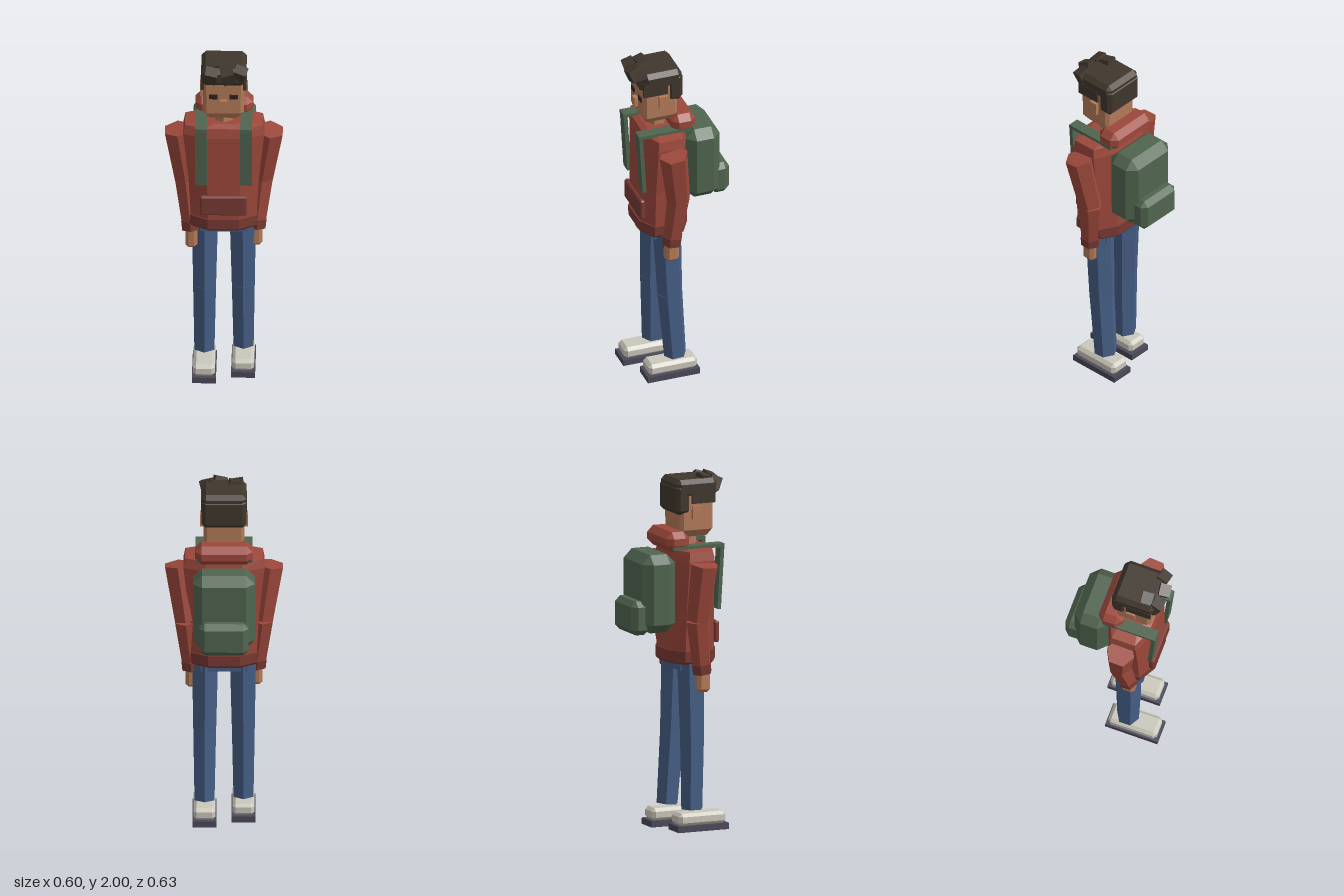
import * as THREE from 'three';
import { ConvexGeometry } from 'three/addons/geometries/ConvexGeometry.js';

const paint = (name, color) => {
  const m = new THREE.MeshStandardMaterial({ color });
  m.name = name;
  return m;
};

export function createModel() {
  const hoodie = paint('hoodie red', 0x9c483b);
  const trim = paint('dark red trim', 0x7a3a33);
  const denim = paint('denim blue', 0x465f87);
  const skin = paint('skin', 0xb57b59);
  const hair = paint('hair', 0x40372d);
  const pack = paint('pack green', 0x50654f);
  const shoe = paint('shoe white', 0xcac7bb);
  const sole = paint('sole grey', 0x4b4958);
  const dark = paint('eye dark', 0x2c2422);

  const body = new THREE.Group();
  body.name = 'body';

  // Unshared vertices give every facet its own flat normal
  const flat = (g) => {
    const f = g.index ? g.toNonIndexed() : g;
    f.computeVertexNormals();
    return f;
  };
  const add = (name, geo, mat, x = 0, y = 0, z = 0) => {
    const m = new THREE.Mesh(flat(geo), mat);
    m.name = name;
    m.position.set(x, y, z);
    body.add(m);
    return m;
  };
  const box = (w, h, d) => new THREE.BoxGeometry(w, h, d);

  // Box with all edges cut off by c
  const cutBox = (w, h, d, c) => {
    const pts = [];
    for (const sx of [-1, 1]) for (const sy of [-1, 1]) for (const sz of [-1, 1]) {
      for (let k = 0; k < 3; k++) {
        const cut = (axis) => (axis === k ? 0 : c);
        pts.push(new THREE.Vector3(
          sx * (w / 2 - cut(0)), sy * (h / 2 - cut(1)), sz * (d / 2 - cut(2))));
      }
    }
    return new ConvexGeometry(pts);
  };

  // Eight-sided loft through rings [y, half width, half depth, z offset]
  const loft = (rings, fx, fz) => {
    const pos = [], idx = [], n = 8, top = rings.length - 1;
    for (const [y, w, d, z = 0] of rings) {
      for (const [px, pz] of [[fx, 1], [1, fz], [1, -fz], [fx, -1],
        [-fx, -1], [-1, -fz], [-1, fz], [-fx, 1]]) pos.push(px * w, y, pz * d + z);
    }
    for (let i = 0; i < top; i++) for (let j = 0; j < n; j++) {
      const a = i * n + j, b = i * n + (j + 1) % n;
      idx.push(a, b, b + n, a, b + n, a + n);
    }
    for (let j = 1; j < n - 1; j++) {
      idx.push(0, j + 1, j, top * n, top * n + j, top * n + j + 1);
    }
    const g = new THREE.BufferGeometry();
    g.setAttribute('position', new THREE.Float32BufferAttribute(pos, 3));
    g.setIndex(idx);
    return g;
  };

  // Six-sided tapered segment from a (top) to b (bottom)
  const limb = (name, a, b, ra, rb, mat) => {
    const va = new THREE.Vector3(...a), vb = new THREE.Vector3(...b);
    const dir = va.clone().sub(vb);
    const m = add(name, new THREE.CylinderGeometry(ra, rb, dir.length(), 6), mat);
    m.position.copy(va).add(vb).multiplyScalar(0.5);
    m.quaternion.setFromUnitVectors(new THREE.Vector3(0, 1, 0), dir.normalize());
    return m;
  };

  // Torso, hem, front pocket and hood
  add('torso', loft([[1.02, 0.182, 0.135], [1.25, 0.195, 0.133], [1.53, 0.225, 0.128],
    [1.585, 0.215, 0.115], [1.6, 0.12, 0.085]], 0.47, 0.6), hoodie);
  add('hem', loft([[0.945, 0.172, 0.13], [0.96, 0.185, 0.142], [1.02, 0.187, 0.142]],
    0.47, 0.6), trim);
  add('frontPocket', cutBox(0.26, 0.12, 0.03, 0.008), trim, 0, 1.11, 0.135);
  add('hood', cutBox(0.32, 0.11, 0.14, 0.035), hoodie, 0, 1.635, -0.105);
  add('hips', box(0.26, 0.08, 0.16), denim, 0, 0.945, -0.01);

  // Arms, legs and shoes; one side swings forward, the other back
  for (const s of [-1, 1]) {
    const side = s > 0 ? 'left' : 'right';
    const f = -s;
    const shoulder = [s * 0.257, 1.52, 0], elbow = [s * 0.212, 1.2, -0.033 + f * 0.012];
    const wrist = [s * 0.186, 0.95, -0.004 + f * 0.016];
    const cuffEnd = [s * 0.182, 0.895, 0.002 + f * 0.018];
    limb(side + 'UpperSleeve', shoulder, elbow, 0.081, 0.068, hoodie);
    limb(side + 'LowerSleeve', elbow, wrist, 0.068, 0.055, hoodie);
    limb(side + 'Cuff', wrist, cuffEnd, 0.058, 0.056, trim);
    add(side + 'Hand', cutBox(0.066, 0.13, 0.08, 0.018), skin,
      s * 0.18, 0.853, 0.004 + f * 0.018);

    const hip = [s * 0.105, 0.95, -0.015], knee = [s * 0.107, 0.53, -0.02 + f * 0.012];
    const ankle = [s * 0.108, 0.12, -0.036 + f * 0.026];
    limb(side + 'Thigh', hip, knee, 0.083, 0.073, denim);
    limb(side + 'Shin', knee, ankle, 0.073, 0.064, denim);

    const fz = f * 0.033;
    add(side + 'Sole', box(0.133, 0.035, 0.308), sole, s * 0.108, 0.0175, fz);
    add(side + 'Shoe', cutBox(0.122, 0.07, 0.285, 0.018), shoe, s * 0.108, 0.068, fz);
  }

  // Head, neck and face
  add('neck', new THREE.CylinderGeometry(0.052, 0.056, 0.12, 6), skin, 0, 1.63, 0.01);
  add('head', loft([[1.65, 0.082, 0.075, 0.025], [1.69, 0.112, 0.1, 0.022],
    [1.92, 0.116, 0.102, 0.02]], 0.84, 0.82), skin);
  add('nose', box(0.036, 0.055, 0.03), skin, 0, 1.752, 0.13);
  for (const s of [-1, 1]) {
    add('eye', box(0.046, 0.026, 0.008), dark, s * 0.056, 1.797, 0.125);
    add('ear', box(0.022, 0.075, 0.05), skin, s * 0.122, 1.79, 0.012);
  }

  // Hair cap, back, temples and tilted tufts
  add('hairCap', cutBox(0.25, 0.105, 0.25, 0.025), hair, 0, 1.923, 0.022);
  add('hairBack', cutBox(0.248, 0.17, 0.09, 0.022), hair, 0, 1.865, -0.063);
  for (const s of [-1, 1]) {
    add('temple', box(0.02, 0.07, 0.14), hair, s * 0.117, 1.875, 0.056);
  }
  const tufts = [[0.09, 1.94, 0.122, 0.3, -0.25], [0.025, 1.945, 0.15, 0.35, 0.2],
    [-0.07, 1.94, 0.14, 0.4, -0.15], [-0.06, 1.955, 0.08, 0.2, 0.15]];
  for (const [x, y, z, rx, rz] of tufts) {
    add('hairTuft', box(0.07, 0.075, 0.065), hair, x, y, z).rotation.set(rx, rz, rz);
  }

  // Backpack with pocket and shoulder straps
  add('backpack', cutBox(0.345, 0.44, 0.2, 0.05), pack, 0, 1.35, -0.22);
  add('backpackPocket', cutBox(0.275, 0.19, 0.11, 0.03), pack, 0, 1.217, -0.325);
  for (const s of [-1, 1]) {
    add('strapFront', box(0.065, 0.365, 0.022), pack, s * 0.125, 1.425, 0.145)
      .rotation.x = 0.06;
    add('strapTop', box(0.065, 0.02, 0.31), pack, s * 0.125, 1.6, 0.012);
  }

  // Turn the figure and centre it
  const model = new THREE.Group();
  model.name = 'student';
  const turn = new THREE.Group();
  turn.name = 'figure';
  turn.rotation.y = 0.61;
  body.position.set(-0.022, 0, 0.057);
  turn.add(body);
  model.add(turn);
  return model;
}
